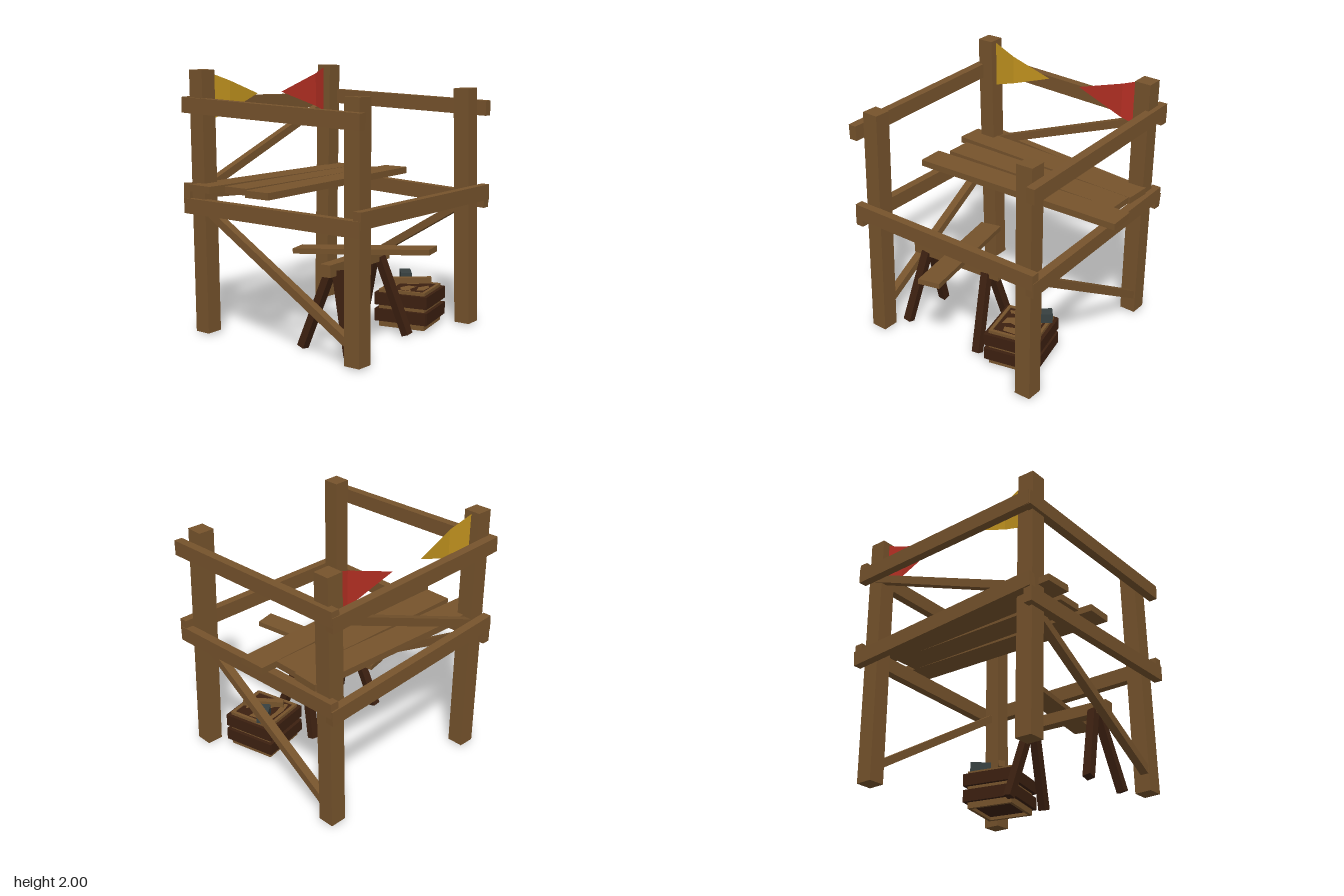
import * as THREE from 'three';

const mat = (name, color) => {
  const m = new THREE.MeshStandardMaterial({ color });
  m.name = name;
  return m;
};

export function createModel() {
  const model = new THREE.Group();
  const wood = mat('wood', 0x76532c);
  const dark = mat('darkWood', 0x3c2010);
  const iron = mat('iron', 0x374040);
  const yellow = mat('yellowCloth', 0xc4951f);
  const red = mat('redCloth', 0xb83024);
  yellow.side = red.side = THREE.DoubleSide;

  const V = (p) => new THREE.Vector3(...p);

  // Square-ended timber from a to b: w across, h along the remaining axis
  function beam(name, a, b, w, h, material = wood, parent = model) {
    const start = V(a), end = V(b);
    const dir = end.clone().sub(start);
    const length = dir.length();
    dir.normalize();
    const ref = Math.abs(dir.y) > 0.8 ? new THREE.Vector3(0, 0, 1) : new THREE.Vector3(0, 1, 0);
    const side = ref.clone().cross(dir).normalize();
    const up = dir.clone().cross(side);
    const mesh = new THREE.Mesh(new THREE.BoxGeometry(w, h, length), material);
    mesh.quaternion.setFromRotationMatrix(new THREE.Matrix4().makeBasis(side, up, dir));
    mesh.position.copy(start).add(end).multiplyScalar(0.5);
    mesh.name = name;
    parent.add(mesh);
    return mesh;
  }

  function box(name, size, pos, material, parent) {
    const mesh = new THREE.Mesh(new THREE.BoxGeometry(...size), material);
    mesh.position.set(...pos);
    mesh.name = name;
    parent.add(mesh);
    return mesh;
  }

  // Leaning corner posts, taller at the back
  beam('frontRightPost', [-0.73, 0.015, 0.677], [-0.7, 1.85, 0.655], 0.13, 0.13);
  beam('frontLeftPost', [0.695, 0.015, 0.675], [0.677, 1.85, 0.645], 0.13, 0.13);
  beam('backRightPost', [-0.735, 0.015, -0.745], [-0.763, 2, -0.735], 0.13, 0.13);
  beam('backLeftPost', [0.695, 0.015, -0.745], [0.717, 2, -0.725], 0.13, 0.13);

  // Crooked rails around the frame
  beam('frontRail', [-0.84, 1.045, 0.758], [0.815, 1.045, 0.758], 0.065, 0.12);
  beam('backLowerRail', [-0.84, 1.1, -0.838], [0.815, 0.988, -0.838], 0.066, 0.115);
  beam('backUpperRail', [-0.84, 1.745, -0.838], [0.815, 1.698, -0.838], 0.066, 0.115);
  beam('leftLowerRail', [0.785, 0.983, 0.785], [0.785, 1.047, -0.86], 0.068, 0.115);
  beam('rightLowerRail', [-0.818, 0.985, 0.785], [-0.818, 0.988, -0.86], 0.066, 0.115);
  for (const [name, x] of [['leftUpperRail', 0.785], ['rightUpperRail', -0.818]])
    beam(name, [x, 1.697, 0.785], [x, 1.742, -0.865], 0.067, 0.115);

  // Diagonal braces
  beam('leftBrace', [0.718, 0.98, 0.66], [0.718, 0.15, -0.72], 0.065, 0.06);
  beam('rightBrace', [-0.752, 0.15, 0.66], [-0.752, 0.97, -0.72], 0.065, 0.06);
  beam('backBrace', [-0.72, 1.11, -0.775], [0.7, 1.67, -0.775], 0.06, 0.06);

  // Loose-laid deck planks
  beam('deckPlankBack', [-0.91, 1.139, -0.633], [0.79, 1.139, -0.57], 0.213, 0.052);
  beam('deckPlankMiddle', [-0.81, 1.138, -0.367], [0.77, 1.138, -0.367], 0.213, 0.05);
  beam('deckPlankFront', [-0.88, 1.139, -0.098], [0.91, 1.139, -0.16], 0.213, 0.052);

  // Sawhorse with splayed legs and a plank resting on it
  const horse = new THREE.Group();
  horse.name = 'sawhorse';
  model.add(horse);
  beam('sawhorseBeam', [-0.65, 0.615, 0.332], [0.143, 0.615, 0.278], 0.09, 0.09, wood, horse);
  for (const [footX, topX, topZ] of [[-0.612, -0.535, 0.325], [0.1, 0.03, 0.285]])
    for (const s of [-1, 1])
      beam('sawhorseLeg', [footX, 0.015, 0.307 + s * 0.215], [topX, 0.6, topZ + s * 0.03], 0.065, 0.06, dark, horse);
  beam('loosePlank', [-0.33, 0.655, -0.19], [-0.07, 0.733, 0.855], 0.17, 0.04, wood, horse);

  // Crate: pale inner walls, dark slats outside
  const crate = new THREE.Group();
  crate.name = 'crate';
  crate.position.set(0.392, 0, 0.348);
  crate.rotation.y = 0.23;
  model.add(crate);
  for (let i = 0; i < 4; i++) {
    const side = new THREE.Group();
    side.name = 'crateSide';
    side.rotation.y = (i * Math.PI) / 2;
    crate.add(side);
    box('crateWall', [0.37, 0.295, 0.025], [0, 0.1625, 0.1745], wood, side);
    for (const y of [0.11, 0.238])
      box('crateSlat', [0.42, 0.095, 0.03], [0, y, 0.2], dark, side);
  }
  box('crateFloor', [0.34, 0.02, 0.34], [0, 0.05, 0], dark, crate);
  box('crateFill', [0.34, 0.02, 0.34], [0, 0.293, 0], dark, crate);

  // Uneven pale patches on the crate's contents
  const patches = [
    [[-0.15, 0.13], [-0.05, 0.15], [0.13, 0.14], [0.13, 0.1], [0, 0.11], [-0.13, 0.09]],
    [[-0.13, 0.03], [-0.06, 0.06], [0.02, 0.02], [0.01, -0.05], [-0.08, -0.03], [-0.14, -0.06]],
    [[-0.1, -0.09], [0, -0.07], [0.08, -0.12], [0.03, -0.15], [-0.09, -0.14]],
    [[0.06, 0.05], [0.14, 0.07], [0.15, -0.04], [0.09, -0.03]],
  ];
  for (const pts of patches) {
    const shape = new THREE.Shape(pts.map(([x, y]) => new THREE.Vector2(x, y)).reverse());
    const patch = new THREE.Mesh(new THREE.ShapeGeometry(shape), wood);
    patch.name = 'cratePatch';
    patch.rotation.x = -Math.PI / 2;
    patch.position.y = 0.306;
    crate.add(patch);
  }

  // Mallet lying on the crate
  beam('malletHandle', [0.285, 0.358, 0.235], [0.495, 0.358, 0.475], 0.05, 0.045);
  beam('malletHead', [0.433, 0.358, 0.283], [0.557, 0.358, 0.182], 0.085, 0.075, iron);

  // Pennant: a triangle with one fold, from the post edge to the tip
  function pennant(name, baseX, foldX, tipX, foldZ, material) {
    const t = (foldX - baseX) / (tipX - baseX);
    const z = -0.73, tipY = 1.8, top = 1.98, low = 1.62;
    const ft = top + (tipY - top) * t, fl = low + (tipY - low) * t;
    const g = new THREE.BufferGeometry();
    g.setAttribute('position', new THREE.Float32BufferAttribute([
      baseX, top, z, baseX, low, z, foldX, fl, foldZ,
      baseX, top, z, foldX, fl, foldZ, foldX, ft, foldZ,
      foldX, ft, foldZ, foldX, fl, foldZ, tipX, tipY, z,
    ], 3));
    // Mirrored pennants need their corners reversed to face forward
    if (tipX < baseX) g.setIndex([0, 2, 1, 3, 5, 4, 6, 8, 7]);
    g.computeVertexNormals();
    const mesh = new THREE.Mesh(g, material);
    mesh.name = name;
    model.add(mesh);
  }
  pennant('yellowPennant', -0.7, -0.5, -0.165, -0.705, yellow);
  pennant('redPennant', 0.655, 0.52, 0.115, -0.705, red);

  return model;
}
